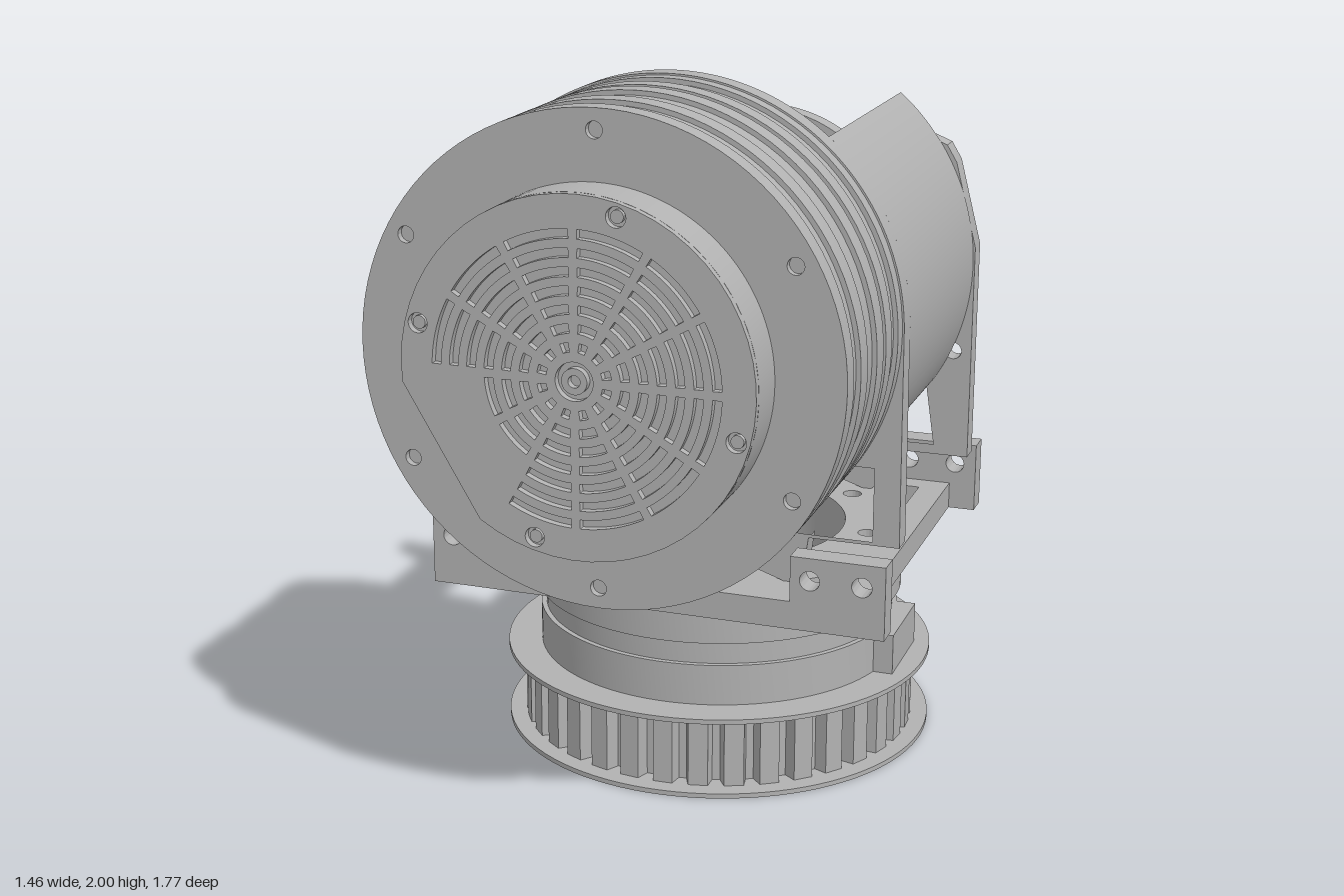
import * as THREE from 'three';
import { toCreasedNormals } from 'three/addons/utils/BufferGeometryUtils.js';

const CX = 0.065, CY = 1.345, CZ = -0.25; // motor axis and turntable axis
const rad = THREE.MathUtils.degToRad;

export function createModel() {
  const model = new THREE.Group();
  const metal = new THREE.MeshStandardMaterial({ color: 0xb2b2b2 });
  metal.name = 'grey metal';

  function add(name, geometry) {
    const mesh = new THREE.Mesh(toCreasedNormals(geometry, 0.5), metal);
    mesh.name = name;
    model.add(mesh);
    return mesh;
  }
  const path = (pts) => new THREE.Shape(pts.map(([x, y]) => new THREE.Vector2(x, y)));
  const circle = (r, x = 0, y = 0) => new THREE.Shape().absarc(x, y, r, 0, Math.PI * 2, false);
  const boltCircle = (n, R, r, start = 0) => Array.from({ length: n }, (_, i) => {
    const a = rad(start) + (i / n) * Math.PI * 2;
    return circle(r, R * Math.cos(a), R * Math.sin(a));
  });
  const extrude = (shape, holes, depth, curveSegments = 16) => {
    shape.holes.push(...holes);
    return new THREE.ExtrudeGeometry(shape, { depth, bevelEnabled: false, curveSegments });
  };
  // plate facing z, in model x and y
  const plate = (name, shape, holes, z0, z1, seg = 32) =>
    add(name, extrude(shape, holes, z1 - z0, seg).translate(0, 0, z0));
  // parts centred on the motor axis
  const motorPart = (name, shape, holes, z0, z1, seg = 48) =>
    add(name, extrude(shape, holes, z1 - z0, seg).translate(CX, CY, z0));
  // parts centred on the upright turntable axis
  const turnPart = (name, shape, holes, y0, y1, seg = 48) =>
    add(name, extrude(shape, holes, y1 - y0, seg).rotateX(-Math.PI / 2).translate(CX, y0, CZ));
  const box = (name, x0, x1, y0, y1, z0, z1) =>
    add(name, new THREE.BoxGeometry(x1 - x0, y1 - y0, z1 - z0)
      .translate((x0 + x1) / 2, (y0 + y1) / 2, (z0 + z1) / 2));
  const mirrorX = (pts) => pts.map(([x, y]) => [2 * CX - x, y]);

  // Belt pulley: scalloped bore with eight screw pillars
  const bore = [], teeth = [];
  for (let i = 0; i < 192; i++) {
    const a = (i / 192) * Math.PI * 2;
    const off = Math.abs(((i + 12) % 24) - 12) / 192 * Math.PI * 2;
    const side = 0.455 * Math.sin(off);
    const r = side < 0.07 ? 0.455 * Math.cos(off) - Math.sqrt(0.0049 - side * side) : 0.485;
    bore.push([r * Math.cos(a), r * Math.sin(a)]);
  }
  for (let i = 0; i < 36; i++) {
    for (const [f, r] of [[0, 0.585], [0.55, 0.585], [0.66, 0.545], [0.89, 0.545]]) {
      const a = ((i + f) / 36) * Math.PI * 2;
      teeth.push([r * Math.cos(a), r * Math.sin(a)]);
    }
  }
  const boreHoles = () => [path(bore), ...boltCircle(8, 0.455, 0.028)];
  turnPart('pulleyLowerFlange', circle(0.635), boreHoles(), 0, 0.014);
  turnPart('pulleyTeeth', path(teeth), boreHoles(), 0.014, 0.226);
  turnPart('pulleyUpperFlange', circle(0.635), boreHoles(), 0.226, 0.24);
  turnPart('lowerCollar', circle(0.535), boreHoles(), 0.24, 0.36);
  turnPart('neck', circle(0.52), boreHoles(), 0.36, 0.43);
  const ringHoles = () => [circle(0.375), ...boltCircle(8, 0.455, 0.028)];
  turnPart('upperCollar', circle(0.545), ringHoles(), 0.43, 0.535);
  box('collarTab', 0.57, 0.64, 0.24, 0.36, -0.38, -0.115);

  // Base frame with corner openings
  const corner = (sx, sy) => path([[0.5, 0.45], [0.5, 0.28], [0.45, 0.36], [0.36, 0.45]]
    .map(([x, y]) => [sx * x, sy * y]));
  const frame = path([[-0.58, -0.52], [0.58, -0.52], [0.58, 0.52], [-0.58, 0.52]]);
  turnPart('baseFrame', frame,
    [...ringHoles(), corner(1, 1), corner(-1, 1), corner(1, -1), corner(-1, -1)], 0.535, 0.615);

  // Front and back rails with raised drilled ends
  for (const [name, z0, z1] of [['frontRail', 0.27, 0.34], ['backRail', -0.845, -0.77]]) {
    plate(name, path([[-0.595, 0.535], [0.725, 0.535], [0.725, 0.745], [0.46, 0.745],
      [0.46, 0.615], [-0.335, 0.615], [-0.335, 0.745], [-0.595, 0.745]]),
    [-0.535, -0.39, 0.515, 0.66].map((x) => circle(0.028, x, 0.68)), z0, z1);
  }

  // Bottom edge and side ear shared by both upright plates, drawn right to left
  const feet = [[0.725, 0.75], [0.47, 0.75], [0.455, 0.64], [0.43, 0.615], [0.4, 0.615],
    [0.16, 0.695], [-0.03, 0.695], [-0.27, 0.615], [-0.3, 0.615], [-0.325, 0.64],
    [-0.34, 0.75], [-0.715, 0.75], [-0.73, 0.765], [-0.73, 1.065], [-0.715, 1.08]];
  const earHoles = () => [circle(0.028, -0.67, 0.945), circle(0.028, -0.67, 0.81)];

  // Front motor plate
  const front = path([...feet, [-0.59, 1.08]]);
  front.absarc(CX, CY, 0.655, Math.PI, 0, true);
  const frontGap = [[0.65, 0.97], [0.65, 0.76], [0.44, 0.76], [0.44, 0.8], [0.58, 0.97]];
  const frontBolts = Array.from({ length: 6 }, (_, i) => {
    const a = rad(90 + 60 * i);
    return circle(0.022, CX + 0.595 * Math.cos(a), CY + 0.595 * Math.sin(a));
  });
  plate('frontPlate', front, [circle(0.53, CX, CY), path(frontGap), path(mirrorX(frontGap)),
    ...frontBolts, ...earHoles()], 0.135, 0.2, 64);

  // Back bearing plate with struts
  const back = path([...feet, [-0.57, 1.08]]);
  back.absarc(CX, CY, 0.435, rad(158), rad(38), true);
  for (const [x, y] of [[0.53, 1.69], [0.58, 1.72], [0.63, 1.7], [0.66, 1.65], [0.725, 1.4]]) back.lineTo(x, y);
  const outerGap = [[0.59, 0.98], [0.62, 0.78], [0.47, 0.78]];
  const innerGap = [[0.34, 0.92], [0.5, 1.02], [0.4, 0.78], [0.2, 0.78]];
  plate('backPlate', back, [circle(0.28, CX, CY), path(outerGap), path(mirrorX(outerGap)),
    path(innerGap), path(mirrorX(innerGap)),
    path([[0.51, 1.59], [0.61, 1.59], [0.63, 1.2], [0.55, 1.29]]),
    circle(0.025, 0.59, 1.66), circle(0.025, 0.67, 1.08), ...earHoles()], -0.7, -0.635, 48);
  motorPart('bearingBoss', circle(0.367), [circle(0.28)], -0.73, -0.7);

  // Curved side cover joining the plates
  const cover = new THREE.Shape();
  cover.absarc(0, 0, 0.655, rad(-34), rad(50), false);
  cover.absarc(0, 0, 0.58, rad(50), rad(-34), true);
  motorPart('sideCover', cover, [], -0.635, 0.135);

  // Side beam between the ears
  box('sideBeamWeb', -0.64, -0.6, 0.75, 1.0, -0.635, 0.135);
  box('sideBeamShelf', -0.727, -0.64, 0.75, 0.8, -0.635, 0.135);

  // Ribbed motor housing
  const profile = [[0, 0.17], [0.525, 0.17], [0.525, 0.2]];
  const bands = [0.2, 0.245, 0.31, 0.37, 0.395, 0.46, 0.55, 0.615, 0.68, 0.72];
  for (let i = 0; i < bands.length - 1; i++) {
    const r = i % 2 ? 0.637 : 0.65;
    profile.push([r, bands[i]], [r, bands[i + 1]]);
  }
  profile.push([0, 0.72]);
  add('motorHousing', new THREE.LatheGeometry(profile.map(([r, z]) => new THREE.Vector2(r, z)), 96)
    .rotateX(Math.PI / 2).translate(CX, CY, 0));
  motorPart('housingFace', circle(0.65), [circle(0.4), ...boltCircle(6, 0.595, 0.022, 90)], 0.72, 0.74);

  // Rear output hub
  motorPart('hubRim', circle(0.5), [circle(0.34)], 0.125, 0.17);
  motorPart('hubRing', circle(0.46), [circle(0.34)], 0.095, 0.125);
  motorPart('hubDisc', circle(0.285), [circle(0.15), ...boltCircle(8, 0.22, 0.026, 22.5)], 0.07, 0.17);

  // Fan cap with one flat side and a slotted grille
  const capShape = () => new THREE.Shape().absarc(0, 0, 0.467, rad(236), rad(545.5), false);
  motorPart('fanCap', capShape(), [], 0.74, 0.868, 64);
  const slots = [];
  for (let ring = 0; ring < 7; ring++) {
    const r0 = 0.075 + ring * 0.047, r1 = r0 + 0.024;
    for (let s = 0; s < 12; s++) {
      if ((s === 6 || s === 7) && ring > 3) continue;
      const gap = 0.011 / r0, a0 = rad(30 * s) + gap, a1 = rad(30 * s + 30) - gap;
      const slot = new THREE.Path();
      slot.absarc(0, 0, r1, a0, a1, false);
      slot.absarc(0, 0, r0, a1, a0, true);
      slots.push(slot);
    }
  }
  const capScrews = boltCircle(4, 0.432, 0.026, 75);
  motorPart('fanGrille', capShape(), [...slots, ...capScrews, circle(0.05)], 0.868, 0.888, 24);
  motorPart('grilleCentre', circle(0.034), [circle(0.016)], 0.868, 0.888, 16);
  for (const screw of boltCircle(4, 0.432, 0.017, 75)) motorPart('capScrew', screw, [], 0.868, 0.88, 12);

  return model;
}
